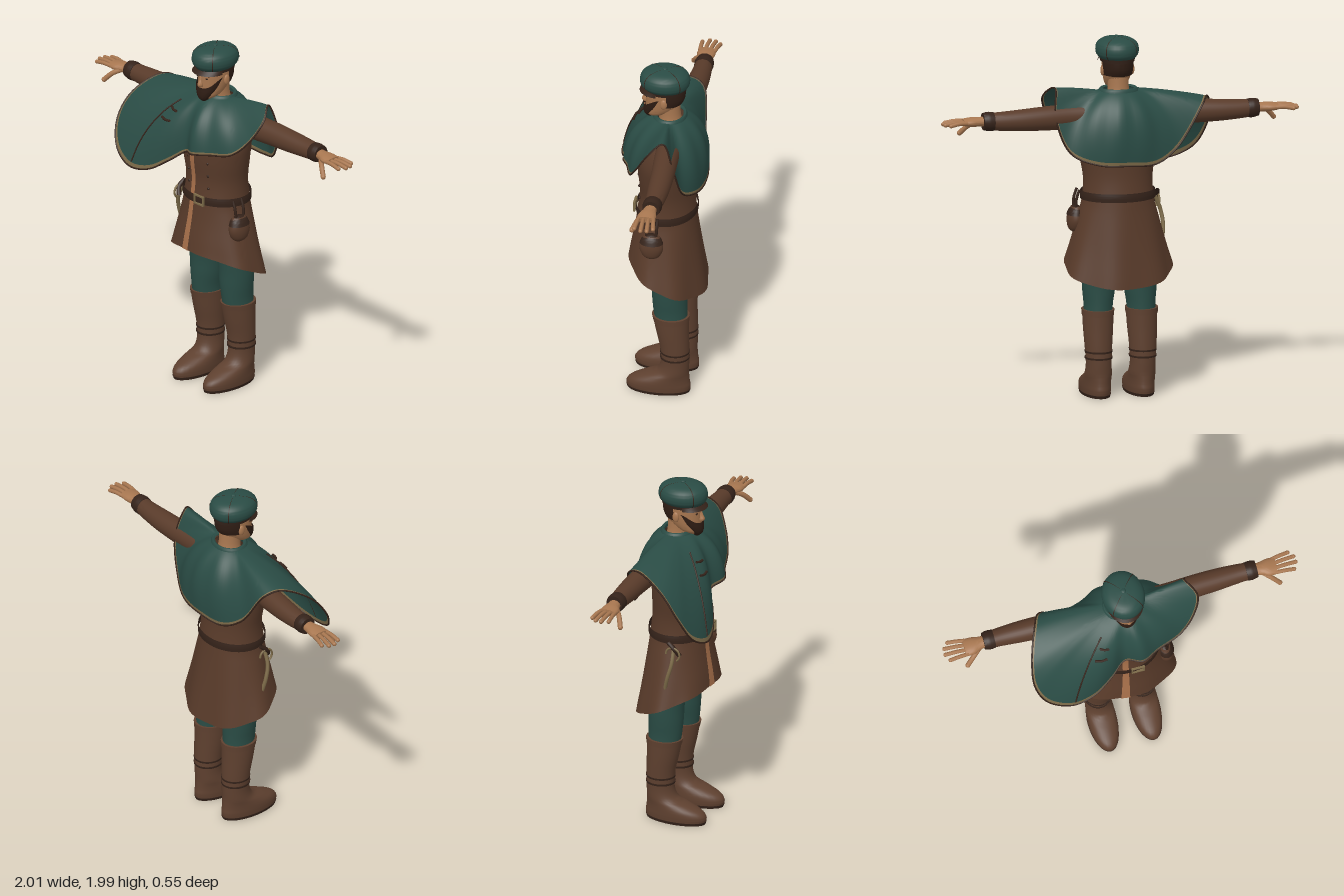
import * as THREE from 'three';
import { toCreasedNormals } from 'three/addons/utils/BufferGeometryUtils.js';

const V = (x, y, z) => new THREE.Vector3(x, y, z);
const colour = (name, hex) => {
  const m = new THREE.MeshStandardMaterial({ color: hex, side: THREE.DoubleSide });
  m.name = name;
  return m;
};

// Surface from a rule f(u, v); u runs sideways, v runs upward
function grid(f, nu, nv, crease = 0.9) {
  const pos = [], index = [];
  for (let j = 0; j <= nv; j++)
    for (let i = 0; i <= nu; i++) pos.push(...f(i / nu, j / nv, j).toArray());
  for (let j = 0; j < nv; j++)
    for (let i = 0; i < nu; i++) {
      const a = j * (nu + 1) + i, b = a + nu + 1;
      index.push(a, a + 1, b + 1, a, b + 1, b);
    }
  const g = new THREE.BufferGeometry();
  g.setAttribute('position', new THREE.Float32BufferAttribute(pos, 3));
  g.setIndex(index);
  return toCreasedNormals(g, crease);
}

// Smooth skin over rings [y, centreX, centreZ, radiusX, radiusZ], lowest first
function loft(rings, { a0 = 0, a1 = Math.PI * 2, off = 0, n = 32, caps = true, warp, from = 0, to = 1, steps } = {}) {
  const mid = new THREE.CatmullRomCurve3(rings.map(r => V(r[1], r[0], r[2])), false, 'catmullrom');
  const rad = new THREE.CatmullRomCurve3(rings.map(r => V(r[3], 0, r[4])), false, 'catmullrom');
  const rows = steps ?? (rings.length - 1) * 4, pad = caps ? 1 : 0;
  return grid((u, v, j) => {
    const k = THREE.MathUtils.clamp((j - pad) / rows, 0, 1), t = from + (to - from) * k;
    const closed = pad && (j === 0 || j === rows + 2);
    const a = a0 + (a1 - a0) * u, c = mid.getPoint(t), r = rad.getPoint(t);
    const p = closed ? c.clone() : V(c.x + (r.x + off) * Math.sin(a), c.y, c.z + (r.z + off) * Math.cos(a));
    if (warp) warp(p, closed ? Math.PI / 2 : a, t);
    return p;
  }, n, rows + 2 * pad);
}

export function createModel() {
  const teal = colour('teal cloth', 0x2a4c45), brown = colour('brown wool', 0x593b2a);
  const leather = colour('boot leather', 0x5e402f), dark = colour('dark leather', 0x35231a);
  const skin = colour('skin', 0xa87750), tan = colour('tan stripe', 0xa8704a);
  const trim = colour('braid trim', 0x7c6a48), hair = colour('hair', 0x2f1d14);
  const model = new THREE.Group();
  const add = (name, geo, mat, parent = model, at) => {
    const m = new THREE.Mesh(geo, mat);
    m.name = name;
    if (at) m.position.set(...at);
    parent.add(m);
    return m;
  };
  const tube = (pts, r, seg = 24) => new THREE.TubeGeometry(new THREE.CatmullRomCurve3(pts), seg, r, 8);
  const ball = (sx, sy, sz) => new THREE.SphereGeometry(1, 20, 14).scale(sx, sy, sz);

  // Tunic, with a hem high in front and low behind
  const tunic = [[0.715, 0, -0.055, 0.3, 0.215], [0.85, 0, -0.047, 0.262, 0.195], [1.0, 0, -0.045, 0.222, 0.172],
    [1.1, 0, -0.045, 0.198, 0.16], [1.22, 0, -0.045, 0.193, 0.147], [1.34, 0, -0.04, 0.215, 0.152],
    [1.45, 0, -0.04, 0.235, 0.15], [1.55, 0, -0.055, 0.23, 0.132], [1.63, 0, -0.065, 0.19, 0.1],
    [1.68, 0, -0.065, 0.1, 0.075]];
  const hem = (p, a) => {
    const k = Math.max(0, (1.08 - p.y) / 0.365);
    p.y += 0.095 * Math.cos(a) * k * k;
    const fold = 1 + 0.025 * k * Math.sin(a * 7);
    p.x *= fold;
    p.z *= fold;
  };
  add('tunic', loft(tunic, { n: 64, caps: false, warp: hem }), brown);
  add('frontStripe', loft(tunic, { a0: -0.22, a1: -0.05, off: 0.004, n: 4, caps: false, warp: hem, to: 0.75 }), tan);
  for (const x of [-0.075, 0.08])
    for (let i = 0; i < 4; i++) add('tunicButton', ball(0.008, 0.008, 0.006), dark, model, [x, 1.19 + i * 0.075, 0.093 + i * 0.003]);

  // Belt, buckle, pouch and curved sidearm
  add('belt', loft([[1.095, 0, -0.045, 0.208, 0.17], [1.12, 0, -0.045, 0.209, 0.171], [1.142, 0, -0.045, 0.206, 0.168]],
    { n: 48, caps: false }), dark);
  for (const s of [-1, 1]) {
    add('buckleBar', new THREE.BoxGeometry(0.07, 0.008, 0.012), trim, model, [0.04, 1.12 + s * 0.024, 0.127]);
    add('buckleSide', new THREE.BoxGeometry(0.008, 0.056, 0.012), trim, model, [0.04 + s * 0.034, 1.12, 0.126]);
    add('pouchStrap', tube([V(0.212, 1.14, s * 0.03), V(0.228, 1.09, s * 0.03), V(0.232, 1.02, s * 0.025)], 0.008), dark);
  }
  add('pouch', loft([[0.905, 0.228, 0, 0.018, 0.025], [0.925, 0.228, 0, 0.038, 0.05], [0.97, 0.228, 0, 0.046, 0.066],
    [1.02, 0.226, 0, 0.04, 0.056], [1.045, 0.225, 0, 0.025, 0.04]]), brown);
  add('pouchFlap', loft([[1.0, 0.228, 0, 0.047, 0.065], [1.03, 0.226, 0, 0.037, 0.052], [1.048, 0.225, 0, 0.02, 0.03]]), dark);
  add('sidearmBlade', tube([V(-0.225, 1.08, 0.01), V(-0.255, 1.0, 0.01), V(-0.265, 0.92, -0.01), V(-0.255, 0.84, -0.03)], 0.011), trim);
  add('sidearmGrip', tube([V(-0.215, 1.04, 0.04), V(-0.235, 1.08, 0.02), V(-0.23, 1.115, -0.02)], 0.013), dark);
  add('sidearmGuard', new THREE.TorusGeometry(0.04, 0.006, 8, 20, Math.PI * 1.3).rotateY(Math.PI / 2), trim, model, [-0.24, 1.05, 0.01]);

  // Arm, hand, leg and boot, built on one side and mirrored
  const lean = rings => loft(rings, {}).rotateZ(-Math.PI / 2);
  for (const s of [-1, 1]) {
    const side = new THREE.Group();
    side.name = s > 0 ? 'leftLimbs' : 'rightLimbs';
    side.scale.x = s;
    model.add(side);
    add('sleeve', lean([[0.15, -1.57, -0.085, 0.07, 0.07], [0.28, -1.567, -0.09, 0.07, 0.066], [0.42, -1.565, -0.1, 0.066, 0.063],
      [0.55, -1.563, -0.105, 0.06, 0.06], [0.66, -1.563, -0.107, 0.053, 0.053], [0.74, -1.565, -0.105, 0.047, 0.047]]), brown, side);
    add('cuff', lean([[0.715, -1.565, -0.105, 0.051, 0.051], [0.745, -1.566, -0.105, 0.053, 0.053], [0.775, -1.567, -0.105, 0.047, 0.047]]), dark, side);
    add('palm', lean([[0.76, -1.567, -0.103, 0.027, 0.032], [0.8, -1.566, -0.1, 0.026, 0.038], [0.84, -1.566, -0.096, 0.025, 0.05],
      [0.885, -1.566, -0.096, 0.018, 0.049]]), skin, side);
    [[-0.136, -0.152, 0.965], [-0.109, -0.122, 0.99], [-0.082, -0.088, 0.994], [-0.056, -0.05, 0.975]].forEach(([z0, z1, x]) => {
      add('finger', tube([V(0.87, 1.567, z0), V((0.87 + x) / 2, 1.568, (z0 + z1) / 2), V(x, 1.56, z1)], 0.0115, 8), skin, side);
      add('fingertip', ball(0.0115, 0.0115, 0.0115), skin, side, [x, 1.56, z1]);
    });
    add('thumb', tube([V(0.805, 1.56, -0.075), V(0.845, 1.535, -0.045), V(0.885, 1.492, -0.02)], 0.014, 10), skin, side);
    add('thumbTip', ball(0.014, 0.014, 0.014), skin, side, [0.885, 1.492, -0.02]);

    add('trouserLeg', loft([[0.45, 0.122, -0.09, 0.078, 0.09], [0.52, 0.12, -0.085, 0.08, 0.094], [0.6, 0.117, -0.082, 0.09, 0.098],
      [0.7, 0.115, -0.08, 0.095, 0.102], [0.9, 0.105, -0.06, 0.1, 0.11]]), teal, side);
    add('boot', loft([[0.012, 0.123, -0.02, 0.077, 0.174], [0.04, 0.123, -0.02, 0.08, 0.178], [0.07, 0.123, -0.03, 0.08, 0.163],
      [0.1, 0.123, -0.062, 0.077, 0.128], [0.13, 0.123, -0.098, 0.074, 0.09], [0.19, 0.124, -0.112, 0.07, 0.078],
      [0.28, 0.125, -0.11, 0.075, 0.08], [0.38, 0.124, -0.098, 0.082, 0.09], [0.48, 0.123, -0.088, 0.086, 0.1]]), leather, side);
    add('sole', loft([[0, 0.123, -0.02, 0.076, 0.172], [0.016, 0.123, -0.02, 0.08, 0.178]]), dark, side);
    add('bootTop', loft([[0.455, 0.123, -0.091, 0.088, 0.1], [0.487, 0.123, -0.088, 0.09, 0.104]]), leather, side);
    for (const y of [0.215, 0.25])
      add('bootStrap', loft([[y, 0.1245, -0.111, 0.0755, 0.0815], [y + 0.01, 0.1245, -0.111, 0.0765, 0.0825]]), dark, side);
  }

  // Short cape thrown over one shoulder
  const hemLine = new THREE.CatmullRomCurve3([[0.05, 1.415, 0.19], [0.15, 1.43, 0.15], [0.28, 1.46, 0.11], [0.37, 1.55, 0.06],
    [0.415, 1.67, -0.01], [0.365, 1.73, -0.09], [0.375, 1.57, -0.15], [0.3, 1.38, -0.19], [0.16, 1.32, -0.25], [0, 1.31, -0.265],
    [-0.17, 1.31, -0.24], [-0.3, 1.39, -0.2], [-0.45, 1.61, -0.16], [-0.49, 1.64, -0.08], [-0.55, 1.56, 0.08], [-0.56, 1.43, 0.18],
    [-0.5, 1.3, 0.24], [-0.37, 1.235, 0.27], [-0.24, 1.25, 0.25], [-0.13, 1.32, 0.2], [-0.04, 1.39, 0.15]].map(p => V(...p)), true);
  const cape = (u, t, off = 0) => {
    const h = hemLine.getPoint(u % 1), a = Math.atan2(h.x, h.z + 0.06);
    const neck = V(0.1 * Math.sin(a), 1.7, -0.06 + 0.085 * Math.cos(a));
    const lift = 0.48 * t * (1 - t) * Math.max(0.05, neck.y - h.y) + off;
    const fold = 0.006 * Math.sin(a * 9) * Math.sin(Math.PI * t);
    return neck.lerp(h, t).add(V(Math.sin(a) * (lift + fold), lift, Math.cos(a) * (lift + fold)));
  };
  add('cape', grid((u, v) => cape(u, 0.965 * (1 - v)), 126, 20, 1.2), teal);
  add('capeTrim', grid((u, v) => cape(u, 1 - 0.035 * v), 126, 1, 1.2), trim);
  add('capeHemCord', new THREE.TubeGeometry(hemLine, 200, 0.005, 6, true), dark);
  const seamU = 17.1 / 21;
  add('capeSeam', tube([0.2, 0.35, 0.5, 0.65, 0.8, 0.96].map(t => cape(seamU, t, 0.003)), 0.004), dark);
  for (const t of [0.32, 0.46])
    add('capeToggle', tube([0, 0.025, 0.05].map(d => cape(seamU + 0.02 + d, t + d, 0.006)), 0.007, 8), dark);
  add('collar', loft([[1.665, 0, -0.06, 0.118, 0.1], [1.69, 0, -0.06, 0.113, 0.096], [1.712, 0, -0.062, 0.1, 0.085],
    [1.705, 0, -0.062, 0.085, 0.072]], { caps: false }), teal);

  // Head and face
  add('neck', loft([[1.64, 0, -0.065, 0.075, 0.07], [1.7, 0, -0.06, 0.058, 0.06], [1.8, 0, -0.05, 0.06, 0.065]]), skin);
  const skull = [[1.695, 0, 0.03, 0.03, 0.035], [1.715, 0, 0.012, 0.055, 0.062], [1.75, 0, -0.012, 0.07, 0.086],
    [1.8, 0, -0.03, 0.08, 0.104], [1.85, 0, -0.034, 0.083, 0.108], [1.9, 0, -0.034, 0.08, 0.105]];
  add('head', loft(skull), skin);
  add('hairBack', loft(skull, { a0: 1.75, a1: 2 * Math.PI - 1.75, off: 0.005, caps: false, from: 0.52 }), hair);
  add('beard', loft([[1.682, 0, 0.045, 0.016, 0.02], [1.7, 0, 0.03, 0.045, 0.052], [1.73, 0, 0.006, 0.068, 0.082],
    [1.768, 0, -0.018, 0.081, 0.104]], { a0: -1.55, a1: 1.55, caps: false, warp: (p, a, t) => { p.y += 0.055 * t * Math.sin(a) ** 4; } }), hair);
  add('lips', ball(0.017, 0.004, 0.004), tan, model, [0, 1.75, 0.081]);
  add('nose', loft([[1.773, 0, 0.077, 0.014, 0.014], [1.785, 0, 0.079, 0.016, 0.018], [1.81, 0, 0.074, 0.009, 0.012],
    [1.84, 0, 0.068, 0.008, 0.008]], { n: 14 }), skin);
  for (const s of [-1, 1]) {
    add('eye', ball(0.012, 0.005, 0.004), hair, model, [s * 0.034, 1.822, 0.064]);
    const brow = add('eyebrow', new THREE.BoxGeometry(0.036, 0.008, 0.01), hair, model, [s * 0.036, 1.842, 0.066]);
    brow.rotation.set(0, s * 0.35, s * 0.08);
    add('ear', ball(0.011, 0.03, 0.019), skin, model, [s * 0.084, 1.805, -0.04]);
  }

  // Peaked cap with seams and a top button
  const crown = [[1.872, 0, -0.032, 0.096, 0.118], [1.895, 0, -0.032, 0.114, 0.135], [1.925, 0, -0.032, 0.118, 0.138],
    [1.955, 0, -0.032, 0.108, 0.126], [1.977, 0, -0.032, 0.075, 0.09], [1.986, 0, -0.032, 0.02, 0.025]];
  add('capCrown', loft(crown), teal);
  for (let i = 0; i < 4; i++) {
    const a = Math.PI / 4 + i * Math.PI / 2;
    add('capSeam', loft(crown, { a0: a - 0.02, a1: a + 0.02, off: 0.002, n: 2, caps: false }), dark);
  }
  add('capButton', ball(0.014, 0.006, 0.014), teal, model, [0, 1.988, -0.032]);
  add('capBand', loft([[1.855, 0, -0.034, 0.092, 0.115], [1.885, 0, -0.033, 0.1, 0.122]]), dark);
  add('capPeak', grid((u, v) => {
    const a = -1.25 + 2.5 * u, out = (1 - v) * 0.026 * Math.cos(a * 1.2);
    return V((0.094 + out) * Math.sin(a) * 1.08, 1.872 - 0.022 * (1 - v), -0.034 + (0.116 + out) * Math.cos(a));
  }, 24, 4), dark);
  return model;
}
